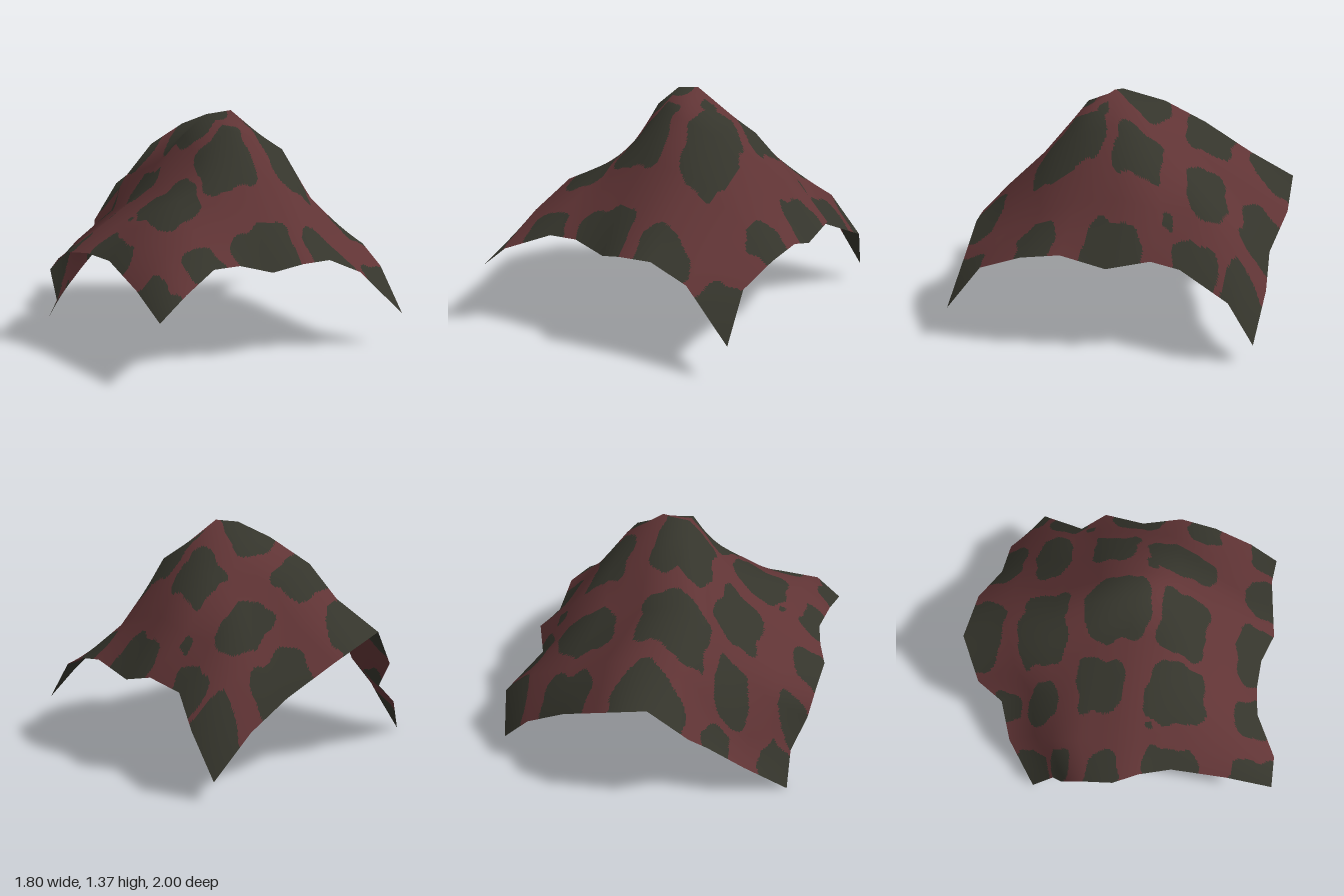
import * as THREE from 'three';

// Edges of the cloth as [x, y, z], nine points each
const backEdge = [[-.87, 0, -.52], [-.65, .25, -.69], [-.445, .4, -.76], [-.385, .57, -.9], [-.18, .8, -1],
  [.14, .665, -.985], [.4, .495, -.9], [.65, .35, -.9], [.86, .107, -.85]];
const frontEdge = [[-.75, .36, .995], [-.59, .49, .98], [-.36, .575, .845], [-.19, .575, .825], [.01, .52, .84],
  [.17, .565, .9], [.36, .565, .875], [.58, .47, .86], [.86, .2, .9]];
const leftEdge = [[-.87, 0, -.52], [-.84, .18, -.38], [-.905, .4, -.3], [-.905, .5, -.14], [-.905, .57, .02],
  [-.835, .585, .17], [-.775, .57, .36], [-.755, .47, .7], [-.75, .36, .995]];
const rightEdge = [[.86, .107, -.85], [.9, .36, -.71], [.78, .49, -.43], [.87, .56, -.28], [.87, .5, -.03],
  [.9, .575, .22], [.88, .54, .45], [.84, .45, .7], [.86, .2, .9]];

// Heights of the inner points, from back to front
const heights = [
  [.34, .54, .78, .96, .82, .68, .58],
  [.55, .72, .92, 1.125, 1.00, .94, .77],
  [.61, .80, 1.03, 1.27, 1.13, 1.06, .78],
  [.69, .93, 1.225, 1.345, 1.365, 1.205, .84],
  [.73, .90, 1.09, 1.27, 1.21, 1.13, .81],
  [.76, .88, .97, 1.01, .98, .92, .72],
  [.65, .72, .76, .76, .755, .71, .55],
];

// Patches as [x min, x max, z min, z max], the last three being small spots
const patches = [
  [-1, -.7, -.64, -.42], [-.56, -.42, -.86, -.61], [-.34, .07, -1.2, -.75], [.25, .56, -1.05, -.73], [.7, 1.05, -1, -.68],
  [-1.05, -.74, -.40, -.27], [-.58, -.4, -.57, -.38], [-.34, .09, -.64, -.35], [.23, .58, -.64, -.42], [.69, .95, -.64, -.38],
  [-1.1, -.74, -.15, .05], [-.54, -.27, -.26, .01], [-.2, .15, -.25, .12], [.29, .54, -.28, 0], [.71, 1.1, -.22, .1],
  [-1, -.67, .19, .52], [-.55, -.23, .15, .51], [-.19, .13, .18, .47], [.24, .52, .07, .48], [.7, 1.1, .28, .5],
  [-.95, -.63, .71, 1.25], [-.51, -.29, .69, 1.1], [-.21, .17, .67, 1.1], [.25, .55, .69, 1.1], [.64, 1.05, .7, 1.15],
  [.63, .69, -.38, -.32], [.2, .28, .06, .13], [-.6, -.56, .16, .2],
];

const N = 8;      // cells of the folded sheet
const FINE = 160; // cells used to cut out the patches
const lerp = THREE.MathUtils.lerp;

// Plan position blended from the four edges, with the middle gathered at the peak
function sheetPoint(i, j) {
  if (j === 0) return backEdge[i];
  if (j === N) return frontEdge[i];
  if (i === 0) return leftEdge[j];
  if (i === N) return rightEdge[j];
  const u = i / N, v = j / N;
  const blend = (k) => lerp(leftEdge[j][k], rightEdge[j][k], u) + lerp(backEdge[i][k], frontEdge[i][k], v)
    - lerp(lerp(backEdge[0][k], backEdge[N][k], u), lerp(frontEdge[0][k], frontEdge[N][k], u), v);
  const across = Math.sin(Math.PI * u) ** 2, along = Math.sin(Math.PI * v);
  const gather = .07 * across + .05 * Math.sin(2 * Math.PI * u) - .045 * Math.sin(4 * Math.PI * u);
  return [blend(0) + .06 * across * along + gather * along ** 6, heights[j - 1][i - 1], blend(2) + .25 * across * along];
}

// Rounded rectangles with an uneven outline
function inPatch(x, z) {
  const wx = x + .012 * Math.sin(z * 23 + x * 9) + .006 * Math.sin(z * 51);
  const wz = z + .012 * Math.sin(x * 21 - z * 8) + .006 * Math.sin(x * 47 + 1);
  return patches.some(([x0, x1, z0, z1]) => {
    const dx = (2 * wx - x0 - x1) / (x1 - x0), dz = (2 * wz - z0 - z1) / (z1 - z0);
    return dx ** 4 + dz ** 4 < 1;
  });
}

function clothGeometry() {
  // Folded sheet with smooth normals
  const sheet = new THREE.PlaneGeometry(1, 1, N, N);
  const pos = sheet.attributes.position;
  for (let j = 0; j <= N; j++)
    for (let i = 0; i <= N; i++) pos.setXYZ(j * (N + 1) + i, ...sheetPoint(i, j));
  sheet.computeVertexNormals();

  // Finer copy of the same facets
  const sample = (attr, a, b) => {
    const i = Math.min(N - 1, Math.floor(a)), j = Math.min(N - 1, Math.floor(b));
    const at = (di, dj) => new THREE.Vector3().fromBufferAttribute(attr, (j + dj) * (N + 1) + i + di);
    return at(0, 0).lerp(at(1, 0), a - i).lerp(at(0, 1).lerp(at(1, 1), a - i), b - j);
  };
  const points = [], normals = [];
  for (let j = 0; j <= FINE; j++)
    for (let i = 0; i <= FINE; i++) {
      const a = i * N / FINE, b = j * N / FINE;
      points.push(...sample(pos, a, b).toArray());
      normals.push(...sample(sheet.attributes.normal, a, b).normalize().toArray());
    }

  // Sort the triangles by colour
  const ground = [], marks = [];
  const addTriangle = (...t) => {
    const mid = (k) => t.reduce((s, p) => s + points[p * 3 + k], 0) / 3;
    (inPatch(mid(0), mid(2)) ? marks : ground).push(...t);
  };
  for (let j = 0; j < FINE; j++)
    for (let i = 0; i < FINE; i++) {
      const a = j * (FINE + 1) + i, c = a + FINE + 1;
      addTriangle(a, c, a + 1);
      addTriangle(c, c + 1, a + 1);
    }
  const geometry = new THREE.BufferGeometry();
  geometry.setAttribute('position', new THREE.Float32BufferAttribute(points, 3));
  geometry.setAttribute('normal', new THREE.Float32BufferAttribute(normals, 3));
  geometry.setIndex([...ground, ...marks]);
  geometry.addGroup(0, ground.length, 0);
  geometry.addGroup(ground.length, marks.length, 1);
  return geometry;
}

export function createModel() {
  const material = (name, color) => {
    const m = new THREE.MeshStandardMaterial({ color, side: THREE.DoubleSide });
    m.name = name;
    return m;
  };
  const cloth = new THREE.Mesh(clothGeometry(), [material('dullRed', 0x603435), material('darkOlive', 0x35352c)]);
  cloth.name = 'drapedCloth';
  const group = new THREE.Group();
  group.name = 'clothCanopy';
  group.add(cloth);
  return group;
}
